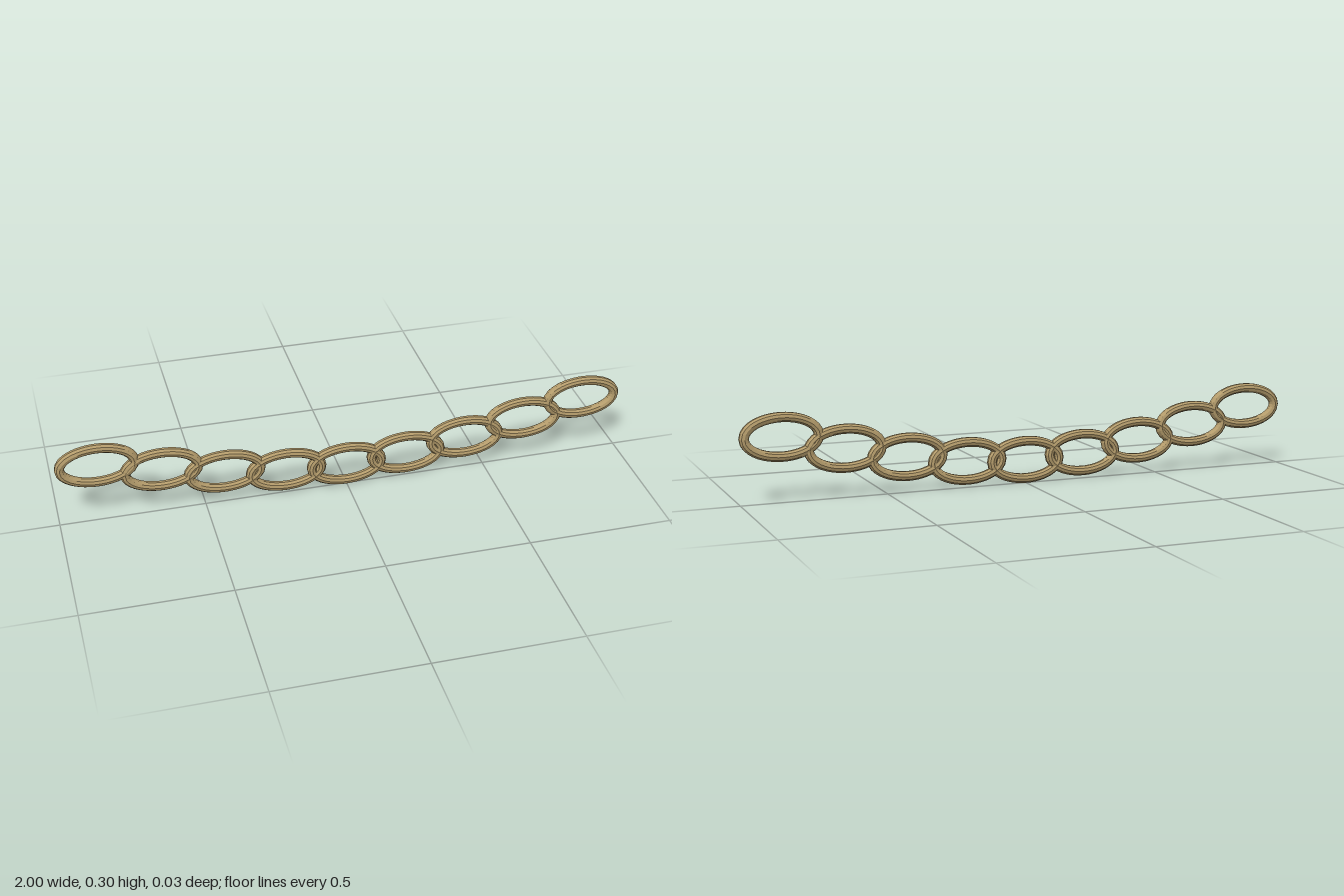
import * as THREE from 'three';

const LINKS = 9, PITCH = 0.2145, SAG = 0.137;
const TUBE = 0.017, HALF_W = 0.142, HALF_H = 0.0825;

// Centre line of one oval link, lying in the XY plane
class OvalCurve extends THREE.Curve {
  getPoint(t, target = new THREE.Vector3()) {
    const a = t * Math.PI * 2;
    return target.set((HALF_W - TUBE) * Math.cos(a), (HALF_H - TUBE) * Math.sin(a), 0);
  }
}

export function createModel() {
  const chain = new THREE.Group();
  chain.name = 'chain';
  const brass = new THREE.MeshStandardMaterial({ color: 0xb39b6b, flatShading: true });
  const linkGeometry = new THREE.TubeGeometry(new OvalCurve(), 40, TUBE, 10, true);

  // Links hang along a sine sag, lowest in the middle
  for (let i = 0; i < LINKS; i++) {
    const t = i / (LINKS - 1);
    const link = new THREE.Mesh(linkGeometry, brass);
    link.name = `chainLink${i + 1}`;
    link.position.set((i - (LINKS - 1) / 2) * PITCH, HALF_H + SAG * (1 - Math.sin(Math.PI * t)), 0);
    chain.add(link);
  }

  // Rest the lowest link on the ground and centre the chain
  const box = new THREE.Box3().setFromObject(chain);
  for (const link of chain.children) link.position.y -= box.min.y;
  return chain;
}
